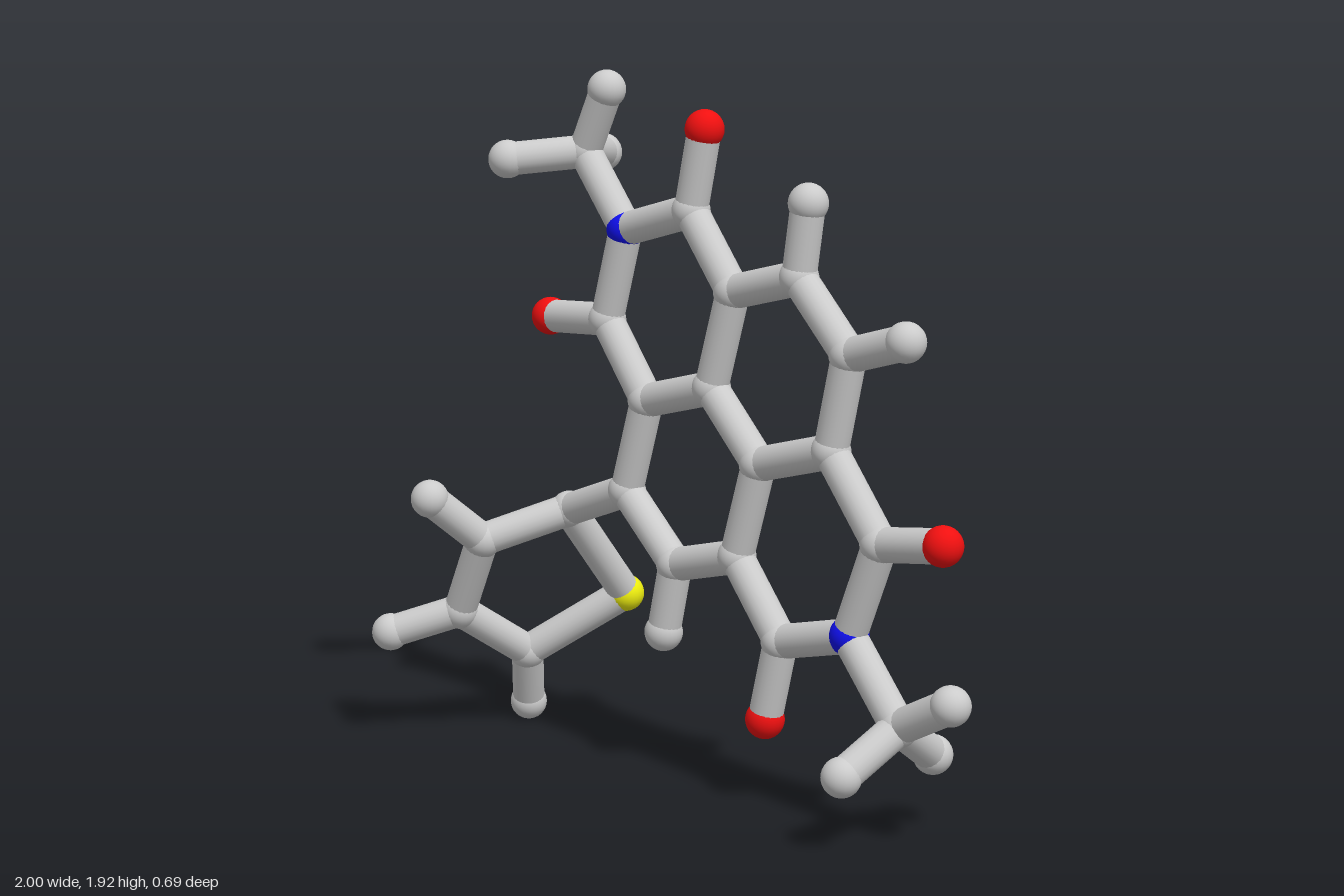
import * as THREE from 'three';

const ATOM_R = 0.053;
const BOND_R = 0.046;

// name: [element, x, y, z]; atoms without z lie in the slightly tilted flat ring plane
const ATOMS = {
  // upper imide ring
  o1: ['O', 0, 1.78], c1: ['C', -0.05, 1.56], n1: ['N', -0.315, 1.49],
  c2: ['C', -0.39, 1.235], o2: ['O', -0.635, 1.22], c3: ['C', -0.22, 1.03],
  c4: ['C', 0.04, 1.095], c5: ['C', 0.12, 1.36],
  // fused core rings
  c6: ['C', 0.37, 1.42], h6: ['H', 0.4, 1.615], c7: ['C', 0.56, 1.24],
  h7: ['H', 0.76, 1.295], c8: ['C', 0.5, 0.985], c9: ['C', 0.23, 0.915],
  c10: ['C', 0.15, 0.655], c11: ['C', -0.095, 0.595], h11: ['H', -0.14, 0.4],
  c12: ['C', -0.3, 0.77],
  // lower imide ring
  c13: ['C', 0.685, 0.77], o3: ['O', 0.905, 0.8], n2: ['N', 0.58, 0.515],
  c14: ['C', 0.325, 0.455], o4: ['O', 0.27, 0.235],
  // methyl groups
  m1: ['C', -0.49, 1.69], m1a: ['H', -0.4, 1.865],
  m1b: ['H', -0.62, 1.67, 0.08], m1c: ['H', -0.62, 1.67, -0.265],
  m2: ['C', 0.765, 0.31], m2a: ['H', 0.945, 0.4],
  m2b: ['H', 0.73, 0.203, 0.1], m2c: ['H', 0.73, 0.203, -0.23],
  // twisted five-sided ring
  t1: ['C', -0.55, 0.68, -0.075], t2: ['C', -0.685, 0.6, 0.13],
  t3: ['C', -0.805, 0.375, 0.12], t4: ['C', -0.785, 0.225, -0.11],
  s: ['S', -0.56, 0.407, -0.292], h2: ['H', -0.715, 0.733, 0.29],
  h3: ['H', -0.945, 0.31, 0.262], h4: ['H', -0.847, 0.055, -0.163],
};

// each chain is a run of bonded atoms
const CHAINS = [
  'c1 n1 c2 c3 c4 c5 c1', 'c5 c6 c7 c8 c9 c4', 'c9 c10 c11 c12 c3',
  'c8 c13 n2 c14 c10', 'c1 o1', 'c2 o2', 'c13 o3', 'c14 o4',
  'c6 h6', 'c7 h7', 'c11 h11',
  'n1 m1 m1a', 'm1b m1 m1c', 'n2 m2 m2a', 'm2b m2 m2c',
  'c12 t1 t2 t3 t4 s t1', 't2 h2', 't3 h3', 't4 h4',
];

const ELEMENTS = {
  C: ['carbon', 0xcccccc], H: ['hydrogen', 0xcccccc], N: ['nitrogen', 0x1010f0],
  O: ['oxygen', 0xf01010], S: ['sulfur', 0xf0f010],
};

export function createModel() {
  const model = new THREE.Group();
  model.name = 'molecule';
  const atoms = new THREE.Group();
  atoms.name = 'atoms';
  const bonds = new THREE.Group();
  bonds.name = 'bonds';
  model.add(atoms, bonds);

  const materials = {};
  for (const key in ELEMENTS) {
    materials[key] = new THREE.MeshStandardMaterial({ color: ELEMENTS[key][1] });
  }

  // atom balls
  const ball = new THREE.SphereGeometry(ATOM_R, 24, 16);
  const position = {};
  for (const [key, [element, x, y, z = -0.062 - 0.016 * y]] of Object.entries(ATOMS)) {
    position[key] = new THREE.Vector3(x, y, z);
    const atom = new THREE.Mesh(ball, materials[element]);
    atom.name = ELEMENTS[element][0];
    atom.position.copy(position[key]);
    atoms.add(atom);
  }

  // bond rods, unit length and stretched between atom centres
  const rod = new THREE.CylinderGeometry(BOND_R, BOND_R, 1, 20, 1, true);
  const up = new THREE.Vector3(0, 1, 0);
  for (const chain of CHAINS) {
    const keys = chain.split(' ');
    for (let i = 1; i < keys.length; i++) {
      const a = position[keys[i - 1]];
      const b = position[keys[i]];
      const span = b.clone().sub(a);
      const bond = new THREE.Mesh(rod, materials.C);
      bond.name = 'bond';
      bond.scale.y = span.length();
      bond.position.copy(a).lerp(b, 0.5);
      bond.quaternion.setFromUnitVectors(up, span.normalize());
      bonds.add(bond);
    }
  }
  return model;
}
